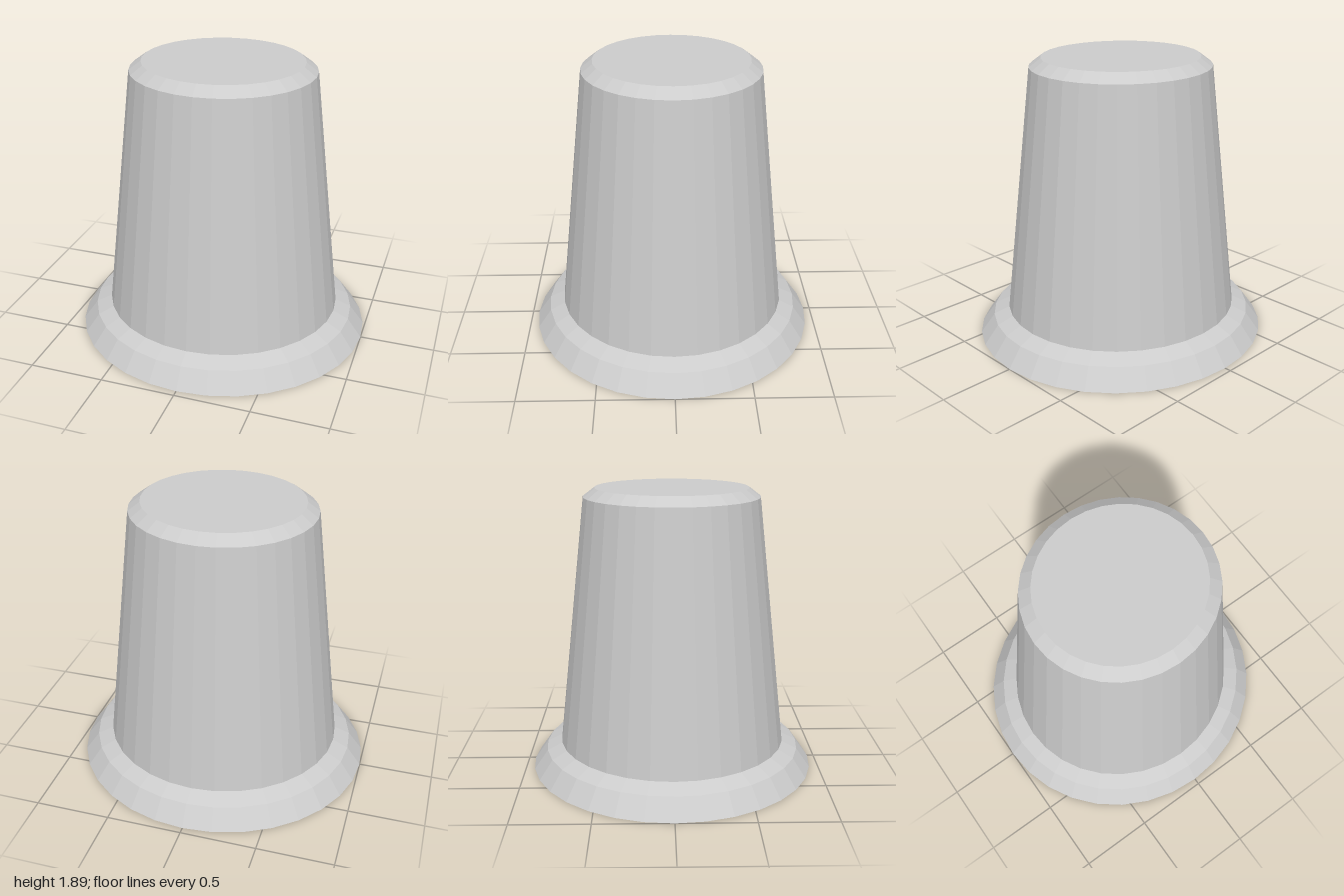
import * as THREE from 'three';

const SIDES = 32;
const DEPTH = 0.957; // slightly oval plan

export function createModel() {
  const group = new THREE.Group();
  group.name = 'flangedCup';
  const material = new THREE.MeshStandardMaterial({ color: 0xcccccc, flatShading: true });

  // Faceted oval ring or cap turned from a [radius, height] profile
  function addTurned(name, profile) {
    const points = profile.map(([r, y]) => new THREE.Vector2(r, y));
    const geometry = new THREE.LatheGeometry(points, SIDES);
    geometry.scale(1, 1, DEPTH);
    const mesh = new THREE.Mesh(geometry, material);
    mesh.name = name;
    group.add(mesh);
  }

  // Closed underside and sloping two-step rim
  addTurned('baseFlange', [[0, 0], [1, 0], [0.905, 0.128], [0.8, 0.176]]);
  // Tapered wall
  addTurned('body', [[0.8, 0.176], [0.607, 1.835]]);
  // Bevelled flat top
  addTurned('topCap', [[0.607, 1.835], [0.528, 1.893], [0, 1.893]]);

  return group;
}
